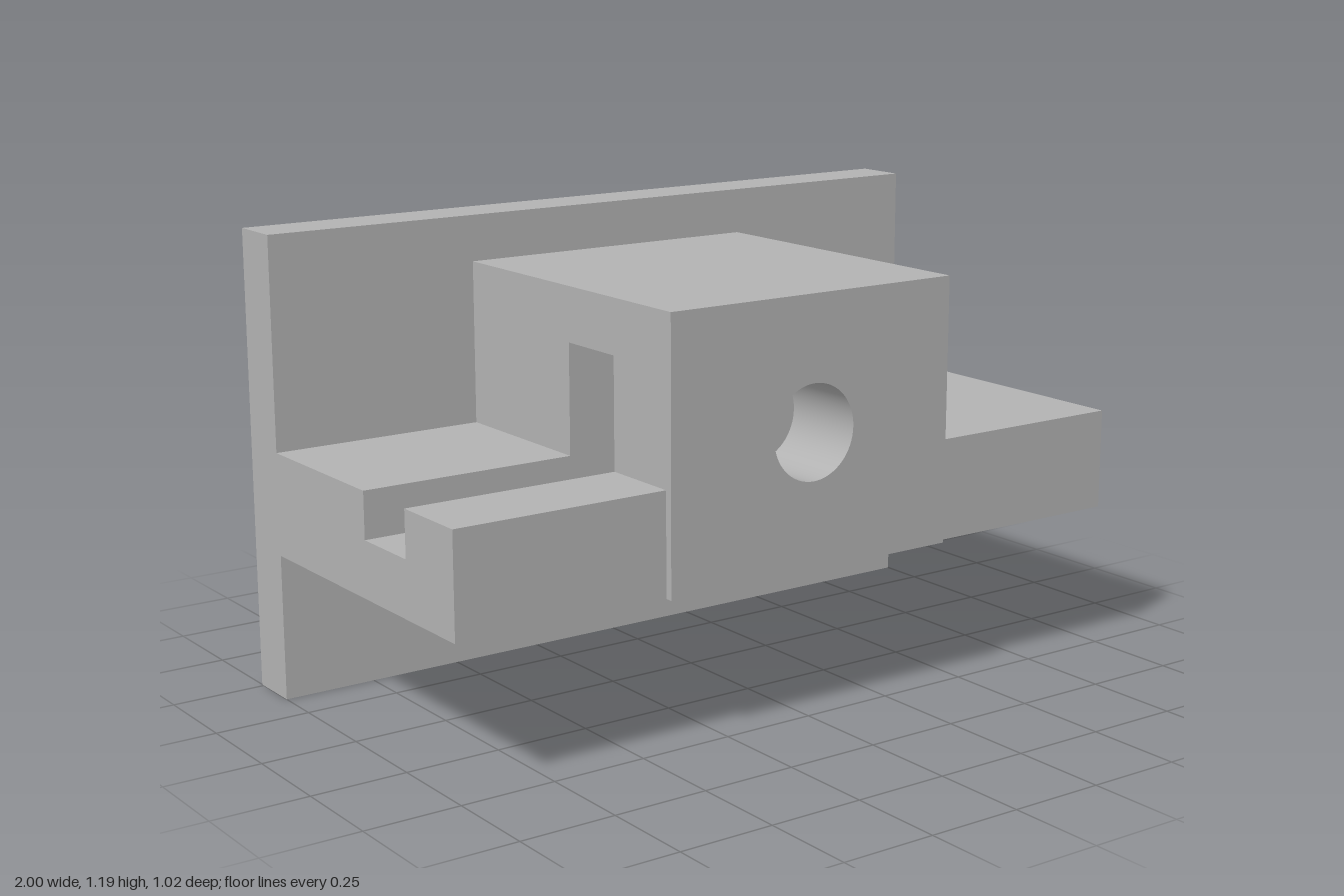
import * as THREE from 'three';
import { toCreasedNormals } from 'three/addons/utils/BufferGeometryUtils.js';

const grey = new THREE.MeshStandardMaterial({ color: 0xb2b2b2 });
grey.name = 'plain grey';

// Shared levels
const W = 0.425;                               // block half width
const BASE = 0.38, WING_TOP = 0.645, TOP = 1.07;
const SLOT_BACK = 0.08, SLOT_FRONT = 0.275, SLOT_FLOOR = 0.525, SLOT_ROOF = 0.93;
const PLATE_FRONT = -0.37, WING_FRONT = 0.49, BLOCK_FRONT = 0.51;

function add(group, name, geometry) {
  const mesh = new THREE.Mesh(geometry, grey);
  mesh.name = name;
  group.add(mesh);
}

function box(x0, x1, y0, y1, z0, z1) {
  return new THREE.BoxGeometry(x1 - x0, y1 - y0, z1 - z0)
    .translate((x0 + x1) / 2, (y0 + y1) / 2, (z0 + z1) / 2);
}

// Wing section with a groove across its top, swept along x
function groovedWing(x0, x1) {
  const outline = [
    [PLATE_FRONT, BASE], [WING_FRONT, BASE], [WING_FRONT, WING_TOP],
    [SLOT_FRONT, WING_TOP], [SLOT_FRONT, SLOT_FLOOR],
    [SLOT_BACK, SLOT_FLOOR], [SLOT_BACK, WING_TOP], [PLATE_FRONT, WING_TOP],
  ].map(([z, y]) => new THREE.Vector2(-z, y));
  return new THREE.ExtrudeGeometry(new THREE.Shape(outline), { depth: x1 - x0, bevelEnabled: false })
    .rotateY(Math.PI / 2).translate(x0, 0, 0);
}

// Block section with a round bore, swept along z
function boredBlock(z0, z1) {
  const shape = new THREE.Shape([[-W, BASE], [W, BASE], [W, TOP], [-W, TOP]]
    .map(([x, y]) => new THREE.Vector2(x, y)));
  shape.holes.push(new THREE.Path().absarc(0, 0.728, 0.122, 0, Math.PI * 2, true));
  const geometry = new THREE.ExtrudeGeometry(shape, {
    depth: z1 - z0, bevelEnabled: false, curveSegments: 32,
  }).translate(0, 0, z0);
  return toCreasedNormals(geometry, 0.6);
}

export function createModel() {
  const model = new THREE.Group();
  model.name = 'mountingBracket';

  // Upright plate at the back
  add(model, 'backPlate', box(-1, 1, 0, 1.19, -0.51, PLATE_FRONT));

  // Side wings: the groove crosses the right one and just enters the left one
  add(model, 'rightWing', groovedWing(-1, -W));
  add(model, 'leftWingNotch', groovedWing(W, W + 0.01));
  add(model, 'leftWing', box(W + 0.01, 1, BASE, WING_TOP, PLATE_FRONT, WING_FRONT));

  // Central block, open from side to side at the slot
  const block = new THREE.Group();
  block.name = 'block';
  add(block, 'blockFront', boredBlock(SLOT_FRONT, BLOCK_FRONT));
  add(block, 'blockBack', boredBlock(PLATE_FRONT, SLOT_BACK));
  add(block, 'slotRoof', box(-W, W, SLOT_ROOF, TOP, SLOT_BACK, SLOT_FRONT));
  add(block, 'slotFloor', box(-W, W, BASE, SLOT_FLOOR, SLOT_BACK, SLOT_FRONT));
  model.add(block);

  return model;
}
